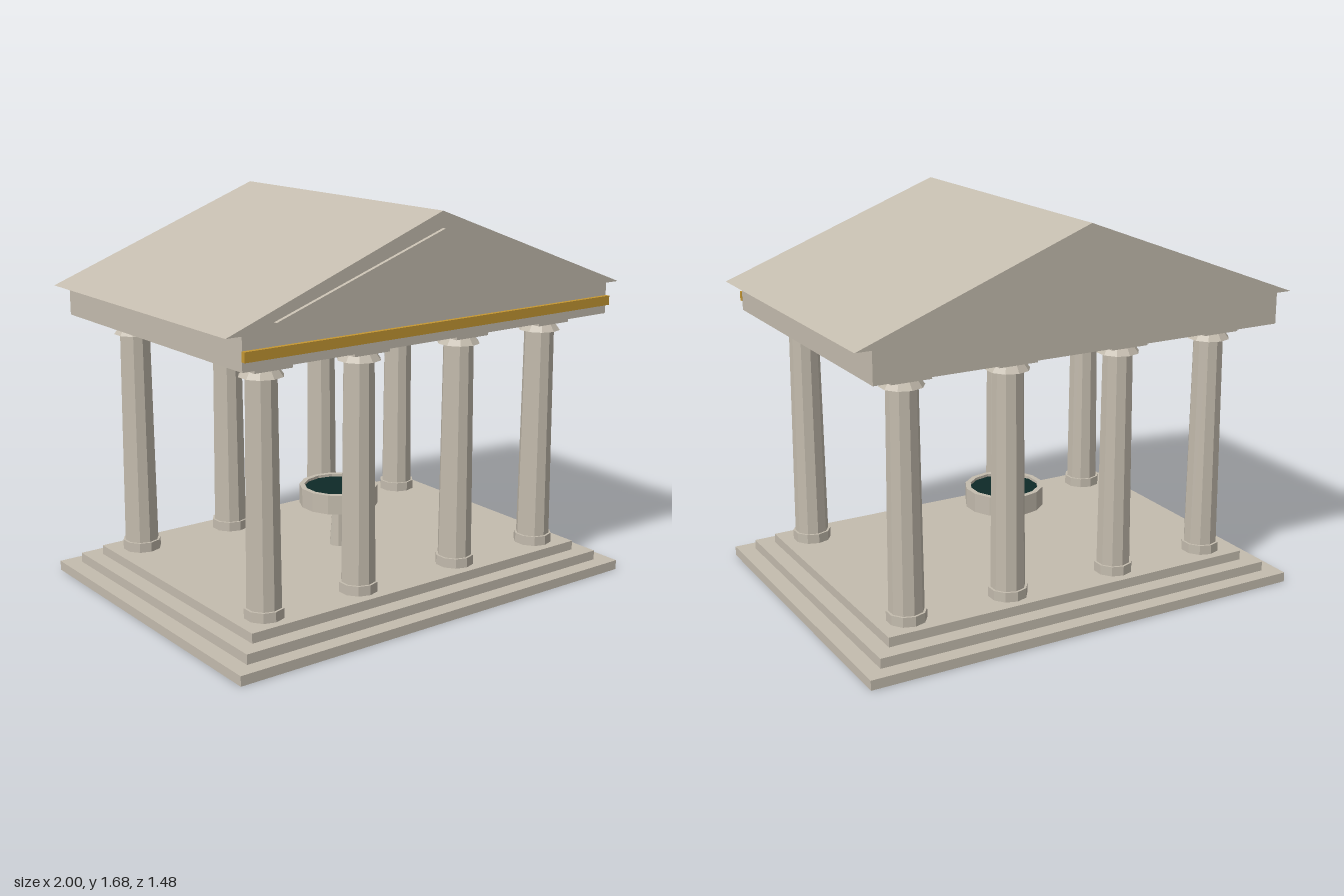
import * as THREE from 'three';

export function createModel() {
  const temple = new THREE.Group();
  temple.name = 'temple';

  const material = (name, color) => {
    const m = new THREE.MeshStandardMaterial({ color, flatShading: true });
    m.name = name;
    return m;
  };
  const stone = material('stone', 0xc4bcae);
  const gold = material('gold', 0xc49632);
  const water = material('dark water', 0x0e2a28);

  const add = (name, geometry, mat, parent = temple) => {
    const mesh = new THREE.Mesh(geometry, mat);
    mesh.name = name;
    parent.add(mesh);
    return mesh;
  };
  // Box and round drum given by their bottom and top heights
  const slab = (name, w, d, y0, y1, parent) => {
    const mesh = add(name, new THREE.BoxGeometry(w, y1 - y0, d), stone, parent);
    mesh.position.y = (y0 + y1) / 2;
    return mesh;
  };
  const drum = (name, rBottom, rTop, y0, y1, parent) => {
    const mesh = add(name, new THREE.CylinderGeometry(rTop, rBottom, y1 - y0, 10), stone, parent);
    mesh.position.y = (y0 + y1) / 2;
    return mesh;
  };
  // Triangular prism along z
  const gable = (name, halfWidth, y0, y1, z0, z1) => {
    const shape = new THREE.Shape();
    shape.moveTo(-halfWidth, y0);
    shape.lineTo(halfWidth, y0);
    shape.lineTo(0, y1);
    const geometry = new THREE.ExtrudeGeometry(shape, { depth: z1 - z0, bevelEnabled: false });
    geometry.translate(0, 0, z0);
    return add(name, geometry, stone);
  };

  // Stepped platform
  slab('lowerStep', 2, 1.48, 0, 0.042);
  slab('middleStep', 1.855, 1.345, 0.042, 0.084);
  slab('upperStep', 1.715, 1.205, 0.084, 0.125);

  // Front and back rows of columns
  for (const z of [-0.485, 0.485]) {
    for (const x of [-0.723, -0.26, 0.26, 0.723]) {
      const column = new THREE.Group();
      column.name = 'column';
      column.position.set(x, 0, z);
      drum('columnBase', 0.083, 0.083, 0.125, 0.167, column);
      drum('columnShaft', 0.073, 0.064, 0.167, 1.127, column);
      drum('columnCapital', 0.09, 0.065, 1.093, 1.127, column);
      slab('columnAbacus', 0.172, 0.172, 1.127, 1.167, column);
      temple.add(column);
    }
  }

  // Beam block with a gold band on the front
  slab('entablature', 1.855, 1.345, 1.167, 1.3);
  const band = add('goldBand', new THREE.BoxGeometry(1.86, 0.04, 0.02), gold);
  band.position.set(0, 1.226, 0.682);

  // Roof and raised pediment panel
  gable('roof', 0.997, 1.3, 1.677, -0.675, 0.675);
  gable('pedimentPanel', 0.79, 1.335, 1.61, 0.67, 0.692);

  // Basin on a tapered pedestal
  const basin = new THREE.Group();
  basin.name = 'basin';
  temple.add(basin);
  drum('basinPedestal', 0.04, 0.026, 0.125, 0.317, basin);
  const profile = [[0, 0.317], [0.173, 0.317], [0.173, 0.402], [0.15, 0.402], [0.15, 0.38]]
    .map(([r, y]) => new THREE.Vector2(r, y));
  add('basinBowl', new THREE.LatheGeometry(profile, 14), stone, basin);
  const surface = add('basinWater', new THREE.CylinderGeometry(0.15, 0.15, 0.008, 14), water, basin);
  surface.position.y = 0.386;

  return temple;
}
